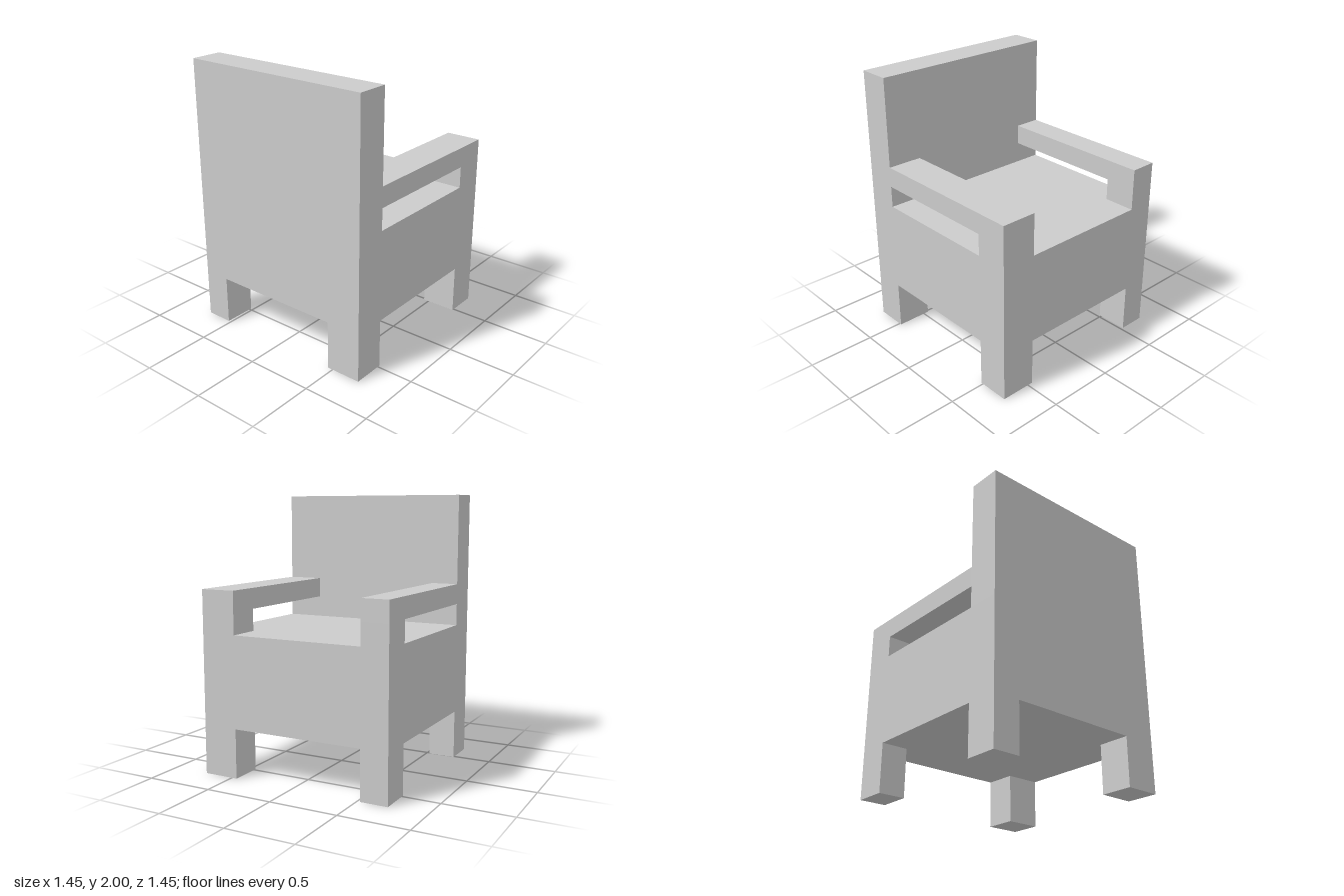
import * as THREE from 'three';

const H = 0.723;              // half width and half depth
const LEG_Y = 0.36, SEAT_Y = 1.03, SLOT_Y = 1.19, ARM_Y = 1.34, TOP_Y = 2;
const BACK_Z = 0.483;         // inner face of backrest, posts and legs

export function createModel() {
  const chair = new THREE.Group();
  chair.name = 'armchair';
  const material = new THREE.MeshStandardMaterial({ color: 0xcccccc, flatShading: true });

  // Box given by its extents on each axis
  function block(name, [x0, x1], [y0, y1], [z0, z1]) {
    const mesh = new THREE.Mesh(new THREE.BoxGeometry(x1 - x0, y1 - y0, z1 - z0), material);
    mesh.position.set((x0 + x1) / 2, (y0 + y1) / 2, (z0 + z1) / 2);
    mesh.name = name;
    chair.add(mesh);
  }

  // Solid seat body and full-width backrest
  block('seat', [-H, H], [LEG_Y, SEAT_Y], [-H, H]);
  block('backrest', [-H, H], [SEAT_Y, TOP_Y], [BACK_Z, H]);

  // Legs and arms; the left side is a little wider than the right
  const sides = { left: [0.46, H], right: [-H, -0.522] };
  for (const [side, x] of Object.entries(sides)) {
    block(`${side} leg at backrest`, x, [0, LEG_Y], [BACK_Z, H]);
    block(`${side} leg at seat edge`, x, [0, LEG_Y], [-H, -BACK_Z]);
    block(`${side} arm post`, x, [SEAT_Y, SLOT_Y], [-H, -BACK_Z]);
    block(`${side} armrest`, x, [SLOT_Y, ARM_Y], [-H, BACK_Z]);
  }
  return chair;
}
